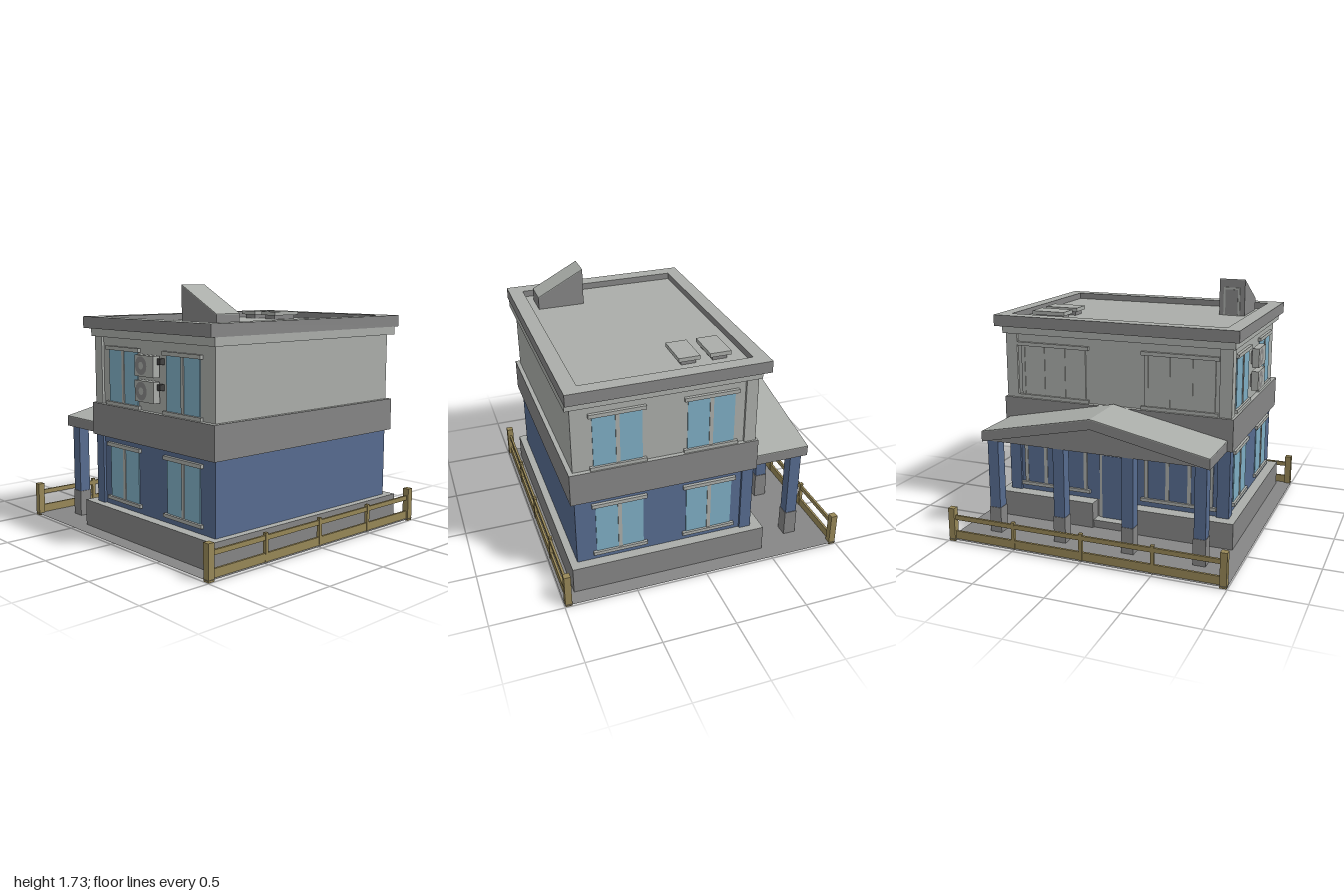
import * as THREE from 'three';

const mat = (name, color, side = THREE.FrontSide) => {
  const m = new THREE.MeshStandardMaterial({ color, side });
  m.name = name;
  return m;
};

export function createModel() {
  const light = mat('light grey', 0xaaada9);
  const dark = mat('dark grey', 0x858585);
  const ground = mat('ground grey', 0x868686, THREE.DoubleSide);
  const blue = mat('blue wall', 0x566b8f);
  const glass = mat('glass', 0x7eadc3);
  const wood = mat('fence wood', 0x978757);
  const black = mat('black', 0x404040);
  const capped = [dark, dark, light, dark, dark, dark]; // dark sides, light top

  const model = new THREE.Group();
  model.name = 'house';
  const group = (name, parent = model) => {
    const g = new THREE.Group();
    g.name = name;
    parent.add(g);
    return g;
  };
  // box given by its limits on each axis
  const box = (name, material, x0, x1, y0, y1, z0, z1, parent = model) => {
    const m = new THREE.Mesh(new THREE.BoxGeometry(x1 - x0, y1 - y0, z1 - z0), material);
    m.position.set((x0 + x1) / 2, (y0 + y1) / 2, (z0 + z1) / 2);
    m.name = name;
    parent.add(m);
    return m;
  };
  // extruded outline
  const prism = (name, materials, points, depth, parent, holes = []) => {
    const shape = new THREE.Shape(points.map(p => new THREE.Vector2(...p)));
    holes.forEach(h => shape.holes.push(new THREE.Path(h.map(p => new THREE.Vector2(...p)))));
    const m = new THREE.Mesh(new THREE.ExtrudeGeometry(shape, { depth, bevelEnabled: false }), materials);
    m.name = name;
    parent.add(m);
    return m;
  };
  const rect = (x0, x1, y0, y1) => [[x0, y0], [x1, y0], [x1, y1], [x0, y1]];

  // ground sheet
  const slab = new THREE.Mesh(new THREE.PlaneGeometry(2, 2), ground);
  slab.rotation.x = -Math.PI / 2;
  slab.position.y = 0.015;
  slab.name = 'ground';
  model.add(slab);

  // plinth, with a gap for the entrance on the right-hand side
  box('plinth', capped, -0.37, 0.91, 0.015, 0.2, -0.89, 0.89);
  for (const s of [-1, 1])
    box('plinthSide', capped, -0.465, -0.37, 0.015, 0.2, Math.min(s * 0.14, s * 0.89), Math.max(s * 0.14, s * 0.89));
  box('doorStep', capped, -0.45, -0.37, 0.015, 0.07, -0.14, 0.14);

  // walls and corner pilasters
  box('groundFloor', blue, -0.37, 0.86, 0.2, 0.69, -0.82, 0.82);
  box('upperFloor', light, -0.37, 0.86, 0.91, 1.4, -0.82, 0.82);
  for (const s of [-1, 1]) {
    const a = s > 0 ? 0.75 : -0.837, b = s > 0 ? 0.837 : -0.75;
    box('lowerPilaster', blue, -0.387, -0.305, 0.2, 0.69, a, b);
    box('upperPilaster', light, -0.387, -0.305, 0.91, 1.4, a, b);
  }
  box('floorBand', capped, -0.405, 0.89, 0.685, 0.91, -0.85, 0.855);
  box('cornice', light, -0.405, 0.897, 1.375, 1.43, -0.855, 0.855);

  // roof deck and parapet
  box('roofDeck', light, -0.37, 0.82, 1.43, 1.465, -0.82, 0.82);
  const parapet = prism('parapet', [light, dark], rect(-0.45, 0.9, -0.89, 0.895), 0.08, model,
    [rect(-0.355, 0.8, -0.785, 0.8)]);
  parapet.rotation.x = -Math.PI / 2;
  parapet.position.y = 1.43;
  for (const x of [-0.18, 0.035]) {
    const hatch = group('roofHatch');
    box('hatchBase', dark, x - 0.05, x + 0.05, 1.46, 1.495, -0.67, -0.46, hatch);
    box('hatchLid', light, x - 0.073, x + 0.073, 1.495, 1.522, -0.69, -0.44, hatch);
  }

  // wedge-shaped roof exit: dark body, light sloping plate, door
  const exit = group('roofExit');
  prism('exitBody', dark, [[0.405, 1.46], [0.738, 1.46], [0.738, 1.55], [0.405, 1.725]], 0.19, exit).position.z = 0.512;
  prism('exitSlope', light, [[0.405, 1.725], [0.738, 1.55], [0.738, 1.556], [0.405, 1.731]], 0.19, exit).position.z = 0.512;
  box('exitDoor', light, 0.397, 0.405, 1.465, 1.67, 0.545, 0.667, exit);
  box('exitDoorPanel', dark, 0.394, 0.397, 1.47, 1.655, 0.56, 0.652, exit);

  // a window on the local xy plane, its outside toward +z
  const windowUnit = (w, y0, y1, bars, pane, parent) => {
    const h = w / 2;
    box('pane', pane, -h, h, y0, y1, 0, 0.006, parent);
    for (const x of bars) box('mullion', light, x - 0.013, x + 0.013, y0, y1, 0, 0.011, parent);
    box('sill', light, -h - 0.025, h + 0.025, y0 - 0.024, y0, 0, 0.022, parent);
    box('lintel', light, -h - 0.025, h + 0.025, y1, y1 + 0.026, 0, 0.022, parent);
  };
  for (const [y0, y1, wall] of [[0.265, 0.62, blue], [0.935, 1.29, light]]) {
    for (const s of [-1, 1])
      for (const x of [-0.07, 0.56]) {
        const g = group(s > 0 ? 'frontWindow' : 'backWindow');
        g.position.set(x, 0, s * 0.82);
        if (s < 0) g.rotation.y = Math.PI;
        windowUnit(0.326, y0, y1, [0], glass, g);
      }
    // wide barred windows on the entrance side
    for (const z of [-0.47, 0.47]) {
      const g = group('sideWindow');
      g.position.set(-0.37, 0, z);
      g.rotation.y = -Math.PI / 2;
      windowUnit(0.5, y0, y1, [-0.237, -0.08, 0.08, 0.237], wall, g);
    }
  }

  // entrance door
  box('doorFrame', light, -0.379, -0.37, 0.07, 0.56, -0.12, 0.12);
  box('door', blue, -0.384, -0.379, 0.07, 0.54, -0.1, 0.1);

  // air conditioners
  for (const y of [0.98, 1.145]) {
    const ac = group('airConditioner');
    box('acBody', light, 0.14, 0.34, y, y + 0.138, 0.835, 0.885, ac);
    box('acBracket', dark, 0.17, 0.31, y + 0.02, y + 0.11, 0.82, 0.835, ac);
    box('acConnector', black, 0.34, 0.372, y + 0.083, y + 0.123, 0.82, 0.855, ac);
    const fan = new THREE.Mesh(new THREE.RingGeometry(0.025, 0.061, 20), dark);
    fan.position.set(0.21, y + 0.07, 0.887);
    fan.name = 'acFan';
    ac.add(fan);
  }

  // gabled entrance canopy, outline in (z, y), extruded toward -x
  const canopy = group('canopy');
  const gable = (name, m, pts, x0, x1) => {
    const p = prism(name, m, pts, x1 - x0, canopy);
    p.rotation.y = -Math.PI / 2;
    p.position.x = x1;
  };
  gable('tympanum', dark, [[-0.8, 0.69], [0.8, 0.69], [0.8, 0.74], [0, 0.9], [-0.8, 0.74]], -0.78, -0.37);
  gable('canopyRim', dark, [[-0.817, 0.687], [-0.817, 0.755], [0, 0.925], [0.817, 0.755], [0.817, 0.687], [0, 0.86]], -0.805, -0.4);
  gable('canopyRoof', light, [[-0.817, 0.755], [0, 0.925], [0.817, 0.755], [0.817, 0.761], [0, 0.931], [-0.817, 0.761]], -0.805, -0.4);

  // canopy columns
  for (const z of [-0.75, -0.25, 0.25, 0.75]) {
    const c = group('column');
    box('columnFoot', dark, -0.778, -0.688, 0.015, 0.2, z - 0.044, z + 0.044, c);
    box('columnShaft', blue, -0.774, -0.692, 0.2, 0.7, z - 0.04, z + 0.04, c);
  }

  // fences along both sides
  for (const s of [-1, 1]) {
    const fence = group('fence');
    fence.position.x = s * 0.972;
    for (const z of [-0.972, 0.972])
      box('cornerPost', wood, -0.023, 0.023, 0, 0.24, z - 0.023, z + 0.023, fence);
    for (const z of [-0.5, 0, 0.5])
      box('fencePost', wood, -0.012, 0.012, 0.01, 0.203, z - 0.012, z + 0.012, fence);
    box('lowerRail', wood, -0.008, 0.008, 0.01, 0.072, -0.96, 0.96, fence);
    box('upperRail', wood, -0.008, 0.008, 0.155, 0.187, -0.96, 0.96, fence);
  }
  return model;
}
